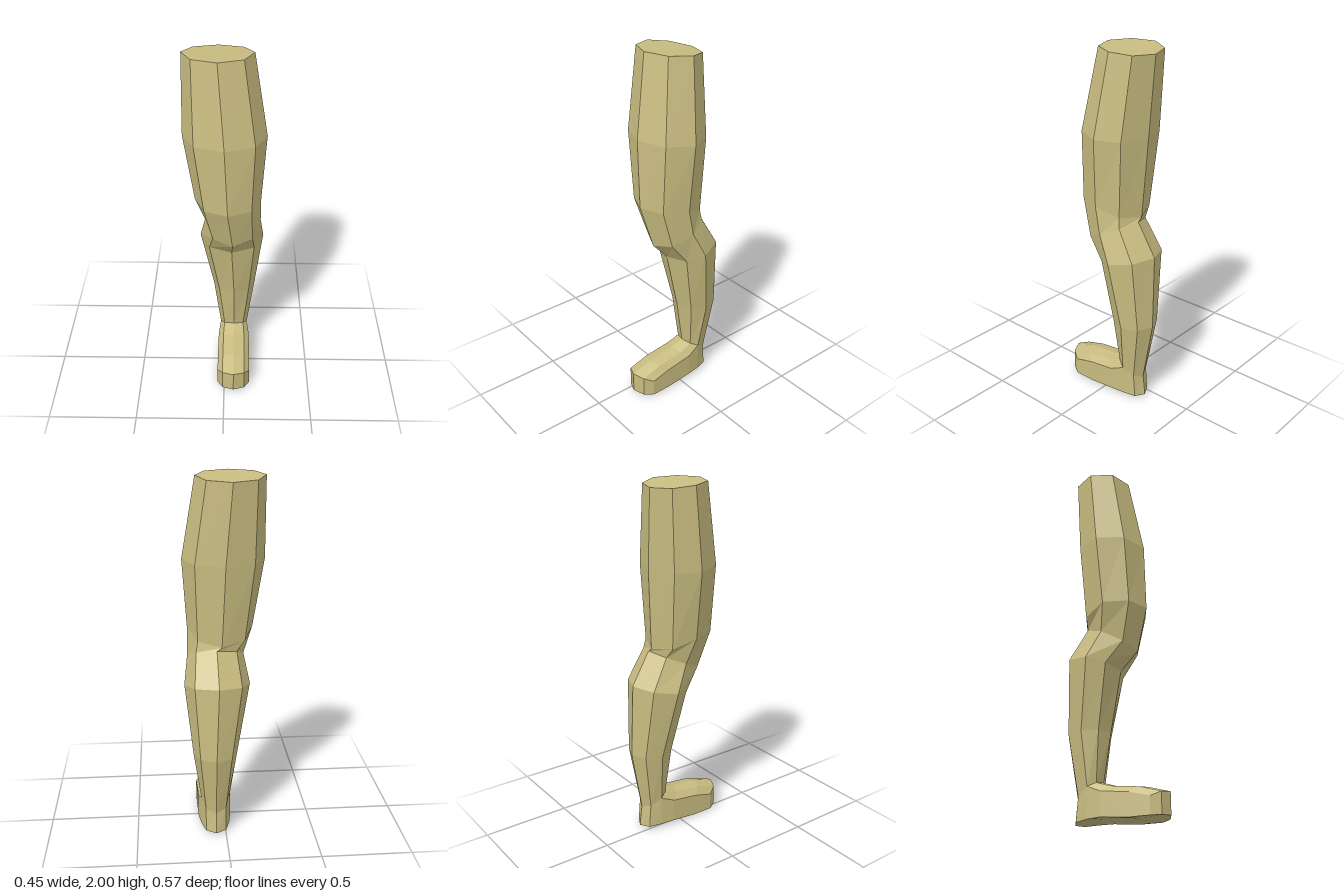
import * as THREE from 'three';

const material = new THREE.MeshStandardMaterial({ color: 0xc8bc80, flatShading: true });

// Skin rows of points (upper row first, each running left to right as seen from outside).
function loft(rows, { closed = true, caps = false } = {}) {
  const n = rows[0].length;
  const out = [];
  const tri = (...points) => points.forEach((p) => out.push(...p));
  for (let r = 0; r < rows.length - 1; r++) {
    for (let i = 0; i < (closed ? n : n - 1); i++) {
      const j = (i + 1) % n;
      const [a, b, c, d] = [rows[r][i], rows[r][j], rows[r + 1][i], rows[r + 1][j]];
      tri(a, c, b);
      tri(b, c, d);
    }
  }
  if (caps) {
    const first = rows[0], last = rows[rows.length - 1];
    for (let i = 1; i < n - 1; i++) {
      tri(first[0], first[i], first[i + 1]);
      tri(last[0], last[i + 1], last[i]);
    }
  }
  const geometry = new THREE.BufferGeometry();
  geometry.setAttribute('position', new THREE.Float32BufferAttribute(out, 3));
  geometry.computeVertexNormals();
  return geometry;
}

// Eight-sided leg ring whose front, sides and back have their own z and height.
function ring([cx, rx, zFront, zSide, zBack, yFront, ySide, yBack]) {
  return Array.from({ length: 8 }, (_, i) => {
    const a = (i * Math.PI) / 4;
    const c = Math.cos(a), k = Math.abs(c);
    return [
      cx + rx * Math.sin(a),
      ySide + ((c > 0 ? yFront : yBack) - ySide) * k,
      zSide + ((c > 0 ? zFront : zBack) - zSide) * k,
    ];
  });
}

// Foot section: side, shoulder and ridge on top, with the sole straight below.
function footSection({ w, d, side, shoulder, ridge, sole }) {
  const cx = 0.055;
  const half = [[w, side, sole[0]], [d, shoulder, sole[1]], [0, ridge, sole[2]]];
  const columns = [
    ...half.map(([x, p, s]) => [cx - x, p, s]),
    ...half.slice(0, 2).reverse().map(([x, p, s]) => [cx + x, p, s]),
  ];
  const top = columns.map(([x, [z, y]]) => [x, y, z]);
  const bottom = columns.map(([x, [z], s]) => [x, s, z]);
  return { top, bottom, loop: [...top, ...bottom.slice().reverse()] };
}

export function createModel() {
  const model = new THREE.Group();
  model.name = 'leg';
  const add = (name, geometry, parent = model) => {
    const mesh = new THREE.Mesh(geometry, material);
    mesh.name = name;
    parent.add(mesh);
  };

  // Thigh, knee, calf, ankle and heel, from the top down
  const legRings = [
    [-0.035, 0.185, 0.11, -0.055, -0.205, 2.0, 1.99, 1.97],
    [0, 0.223, 0.187, -0.015, -0.195, 1.56, 1.55, 1.54],
    [0.018, 0.18, 0.19, 0, -0.17, 1.18, 1.17, 1.1],
    [0.045, 0.155, 0.125, -0.03, -0.17, 0.94, 1.02, 1.08],
    [0.04, 0.18, 0.025, -0.105, -0.28, 0.83, 0.87, 0.9],
    [0.055, 0.122, -0.04, -0.16, -0.287, 0.49, 0.48, 0.48],
    [0.055, 0.08, -0.08, -0.14, -0.225, 0.22, 0.19, 0.13],
    [0.055, 0.08, -0.08, -0.14, -0.24, 0.025, 0.02, 0.01],
  ];
  add('thighCalfAndHeel', loft(legRings.map(ring), { caps: true }));

  // Foot, from the ankle to the toes
  const foot = new THREE.Group();
  foot.name = 'foot';
  model.add(foot);
  const sections = [
    { w: 0.08, d: 0.057, side: [-0.14, 0.19], shoulder: [-0.098, 0.211], ridge: [-0.08, 0.22], sole: [0.02, 0.024, 0.025] },
    { w: 0.092, d: 0.062, side: [-0.06, 0.155], shoulder: [-0.02, 0.185], ridge: [0, 0.195], sole: [0.022, 0.025, 0.025] },
    { w: 0.094, d: 0.064, side: [0.095, 0.135], shoulder: [0.14, 0.165], ridge: [0.165, 0.175], sole: [0.008, 0.003, 0] },
    { w: 0.094, d: 0.064, side: [0.21, 0.105], shoulder: [0.26, 0.13], ridge: [0.287, 0.14], sole: [0.008, 0.013, 0.02] },
  ].map(footSection);
  add('instepAndSole', loft(sections.map((s) => s.loop)), foot);

  // Upright wall closing the toes
  const toe = sections[sections.length - 1];
  add('toeWall', loft([toe.top, toe.bottom], { closed: false }), foot);

  return model;
}
